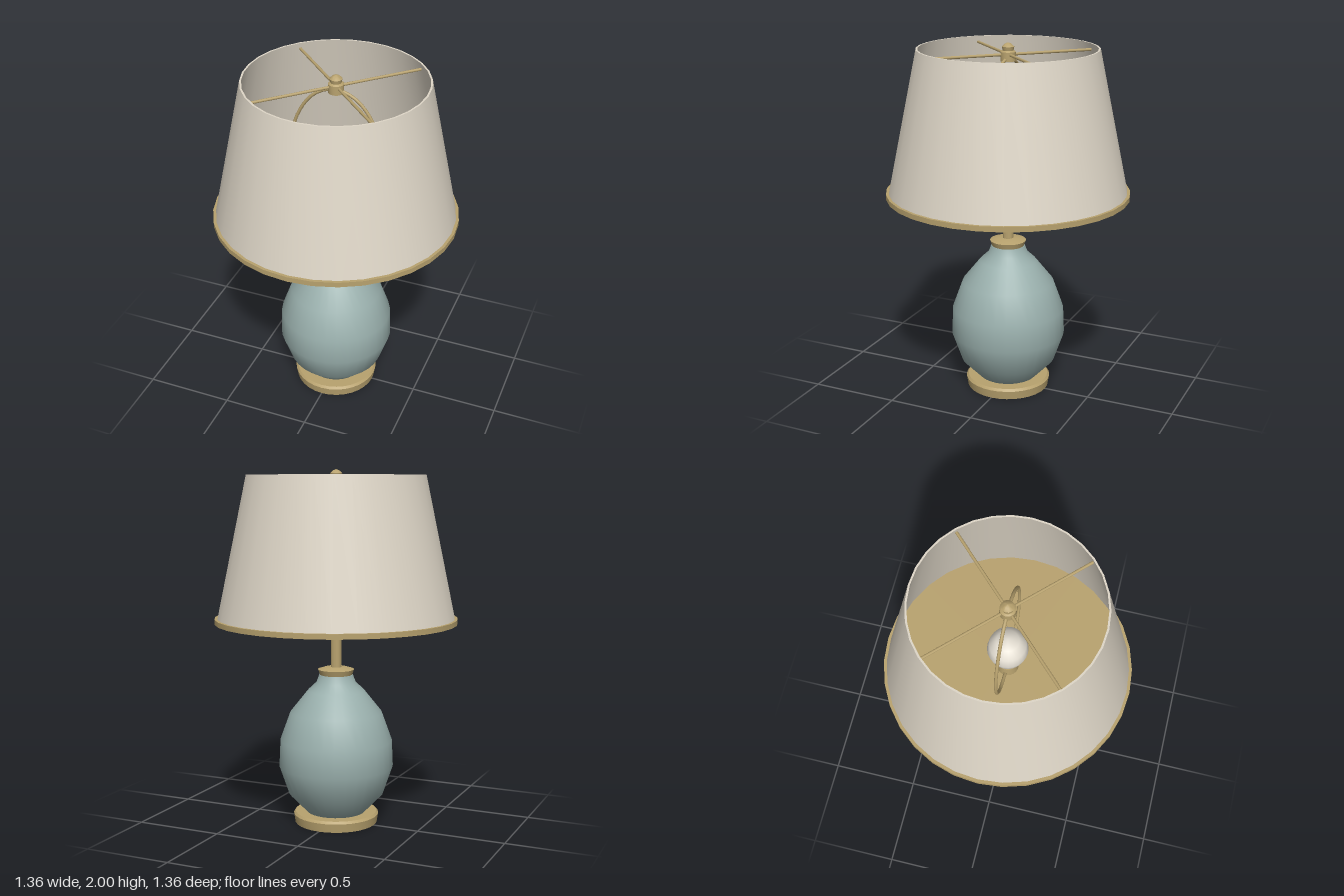
import * as THREE from 'three';
import { toCreasedNormals } from 'three/addons/utils/BufferGeometryUtils.js';

const material = (name, color) => {
  const m = new THREE.MeshStandardMaterial({ color });
  m.name = name;
  return m;
};

export function createModel() {
  const lamp = new THREE.Group();
  lamp.name = 'tableLamp';
  const brass = material('brass', 0xb8a26e);
  const glaze = material('blue grey ceramic', 0x9ab0ad);
  const linen = material('cream linen', 0xded6c7);
  const glass = material('bulb white', 0xe6e0d4);

  const add = (name, geometry, mat) => {
    const mesh = new THREE.Mesh(geometry, mat);
    mesh.name = name;
    lamp.add(mesh);
    return mesh;
  };
  // Turned part from [radius, height] pairs, listed bottom to top
  const turned = (name, profile, mat, sides = 32, crease = 0.6) => {
    const points = profile.map(([r, y]) => new THREE.Vector2(r, y));
    return add(name, toCreasedNormals(new THREE.LatheGeometry(points, sides), crease), mat);
  };

  // Foot and ceramic body
  turned('foot', [[0, 0], [0.235, 0], [0.243, 0.05], [0.232, 0.063], [0, 0.063]], brass);
  turned('body', [[0, 0.055], [0.165, 0.06], [0.27, 0.17], [0.325, 0.33], [0.318, 0.48],
    [0.26, 0.64], [0.16, 0.765], [0.112, 0.81], [0.095, 0.855], [0, 0.855]], glaze, 32, 0.9);

  // Collar, stem and socket
  turned('collar', [[0, 0.85], [0.09, 0.85], [0.102, 0.885], [0.06, 0.898], [0, 0.898]], brass);
  turned('stem', [[0, 0.89], [0.03, 0.89], [0.03, 1.16], [0, 1.16]], brass, 20);
  turned('socket', [[0, 1.137], [0.05, 1.137], [0.062, 1.147], [0.055, 1.25], [0, 1.25]], brass, 24);

  // Bulb
  turned('bulb', [[0, 1.24], [0.045, 1.25], [0.055, 1.3], [0.095, 1.37], [0.11, 1.43],
    [0.098, 1.49], [0.06, 1.535], [0, 1.55]], glass, 24, 1);

  // Shade wall with a thin top edge, and the closed lower rim
  turned('shade', [[0.665, 1.175], [0.497, 1.97], [0.487, 1.97], [0.655, 1.175]], linen);
  turned('shadeRim', [[0, 1.152], [0.68, 1.152], [0.68, 1.18], [0, 1.18]], brass);

  // Wire harp arching around the bulb
  const side = [[0.05, 1.2], [0.17, 1.26], [0.24, 1.38], [0.26, 1.54], [0.22, 1.73], [0.12, 1.87]];
  const arch = [
    ...side.map(([x, y]) => new THREE.Vector3(x, y, 0)),
    new THREE.Vector3(0, 1.915, 0),
    ...[...side].reverse().map(([x, y]) => new THREE.Vector3(-x, y, 0)),
  ];
  add('harp', new THREE.TubeGeometry(new THREE.CatmullRomCurve3(arch), 48, 0.009, 8), brass);

  // Four spider arms from the hub to the shade
  for (let i = 0; i < 4; i++) {
    const angle = Math.PI / 4 + i * Math.PI / 2;
    const arm = add('spiderArm', new THREE.CylinderGeometry(0.008, 0.008, 0.49, 8), brass);
    arm.rotation.set(0, angle, Math.PI / 2);
    arm.position.set(Math.cos(angle) * 0.245, 1.935, -Math.sin(angle) * 0.245);
  }

  // Hub and finial
  turned('hub', [[0, 1.9], [0.042, 1.9], [0.042, 1.95], [0.033, 1.957], [0, 1.957]], brass, 20);
  turned('finial', [[0, 1.95], [0.028, 1.95], [0.034, 1.978], [0.018, 1.993], [0, 2]], brass, 16);

  return lamp;
}
